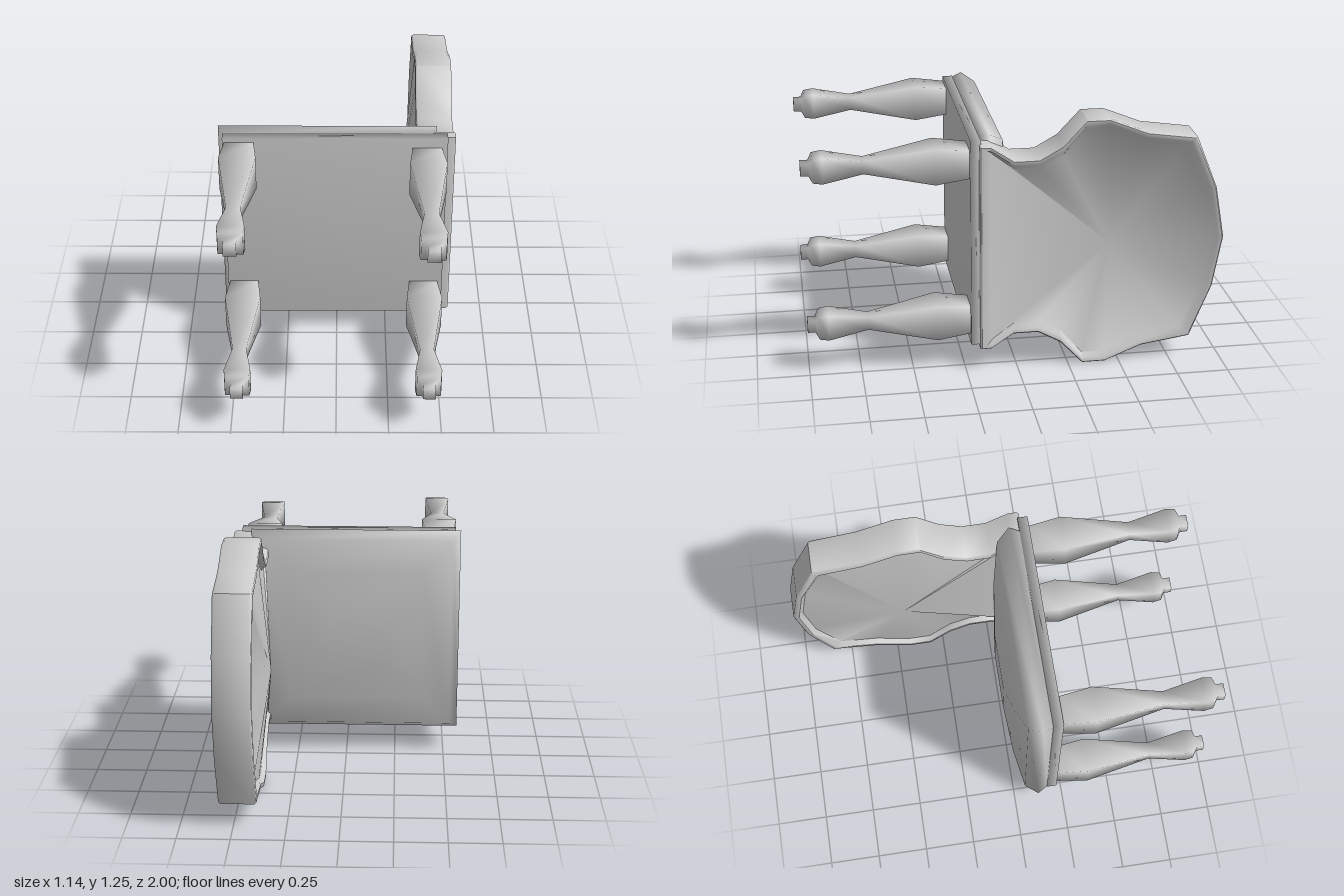
import * as THREE from 'three';
import { toCreasedNormals } from 'three/addons/utils/BufferGeometryUtils.js';

const grey = new THREE.MeshStandardMaterial({ color: 0xcccccc });

// Skin a stack of equal-length rings, closing both ends with a fan to a centre point.
function loft(rings, startCentre, endCentre) {
  const n = rings[0].length;
  const points = [...rings.flat(), startCentre, endCentre];
  const start = points.length - 2, end = points.length - 1;
  const last = (rings.length - 1) * n;
  const index = [];
  for (let i = 0; i < n; i++) {
    const j = (i + 1) % n;
    index.push(start, j, i, end, last + i, last + j);
    for (let r = 0; r < last; r += n) {
      index.push(r + i, r + j, r + n + j, r + i, r + n + j, r + n + i);
    }
  }
  const geometry = new THREE.BufferGeometry();
  geometry.setAttribute('position', new THREE.Float32BufferAttribute(points.flat(), 3));
  geometry.setIndex(index);
  geometry.computeVertexNormals();
  return geometry;
}

// Stack of rectangles along z; each level is [z, x0, x1, y0, y1].
function rectLoft(levels) {
  const rings = levels.map(([z, x0, x1, y0, y1]) =>
    [[x0, y0, z], [x1, y0, z], [x1, y1, z], [x0, y1, z]]);
  const centre = ([z, x0, x1, y0, y1]) => [(x0 + x1) / 2, (y0 + y1) / 2, z];
  return loft(rings, centre(levels[0]), centre(levels[levels.length - 1]));
}

function add(group, name, geometry) {
  const mesh = new THREE.Mesh(geometry, grey);
  mesh.name = name;
  group.add(mesh);
  return mesh;
}

// Half outlines of the backrest as [z, distance from its centre line].
const MID_Y = 0.6225;
const OUTER = [[0.18, 0.515], [0.13, 0.515], [0.02, 0.443], [-0.1, 0.443], [-0.21, 0.505],
  [-0.32, 0.6225], [-0.43, 0.6225], [-0.61, 0.55], [-0.85, 0.515], [-0.955, 0.255]];
const INNER = [[0.125, 0.48], [0.12, 0.472], [0.015, 0.393], [-0.1, 0.393], [-0.21, 0.448],
  [-0.32, 0.575], [-0.43, 0.575], [-0.61, 0.5], [-0.8, 0.47], [-0.91, 0.24]];

// Mirror a half outline into a closed loop at the given x, t blending outer to inner.
function backRing(x, t) {
  const half = OUTER.map(([z, d], i) => [
    THREE.MathUtils.lerp(z, INNER[i][0], t), THREE.MathUtils.lerp(d, INNER[i][1], t)]);
  const low = half.map(([z, d]) => [x, MID_Y - d, z]);
  const high = half.map(([z, d]) => [x, MID_Y + d, z]).reverse();
  return [...low, [x, MID_Y, -1 + 0.05 * t], ...high];
}

export function createModel() {
  const chair = new THREE.Group();
  chair.name = 'chair';

  // Seat: flat board with a domed cushion
  add(chair, 'seatBoard', rectLoft([
    [0.17, -0.545, 0.53, 0.12, 1.155],
    [0.22, -0.545, 0.53, 0.12, 1.155],
  ]));
  add(chair, 'seatCushion', rectLoft([
    [0.01 - 0.02, -0.2, 0.08, 0.5, 0.78],
    [0.015, -0.38, 0.28, 0.3, 0.98],
    [0.055, -0.53, 0.43, 0.15, 1.125],
    [0.12, -0.57, 0.48, 0.11, 1.165],
    [0.17, -0.545, 0.46, 0.13, 1.15],
  ]));

  // Backrest: rounded frame, flat rear panel and a padded front rising to a point
  const back = loft([
    backRing(0.415, 1), backRing(0.39, 0.55), backRing(0.392, 0.12), backRing(0.4, 0),
    backRing(0.56, 0), backRing(0.57, 0.15), backRing(0.568, 0.55), backRing(0.545, 1),
  ], [0.345, MID_Y, -0.44], [0.545, MID_Y, -0.44]);
  add(chair, 'backrest', toCreasedNormals(back, 0.9));

  // Legs: square section swelling at the knee and ankle
  const profile = [[0.2, 0.068], [0.22, 0.07], [0.38, 0.0875], [0.71, 0.033],
    [0.9, 0.0625], [0.945, 0.057], [0.963, 0.03], [1, 0.03]];
  const leg = rectLoft(profile.map(([z, h]) => [z, -h, h, -h, h]));
  const places = {
    frontLegLower: [-0.465, 0.24], frontLegUpper: [-0.465, 1.063],
    rearLegLower: [0.436, 0.24], rearLegUpper: [0.432, 1.033],
  };
  for (const [name, [x, y]] of Object.entries(places)) {
    add(chair, name, leg).position.set(x, y, 0);
  }
  return chair;
}
